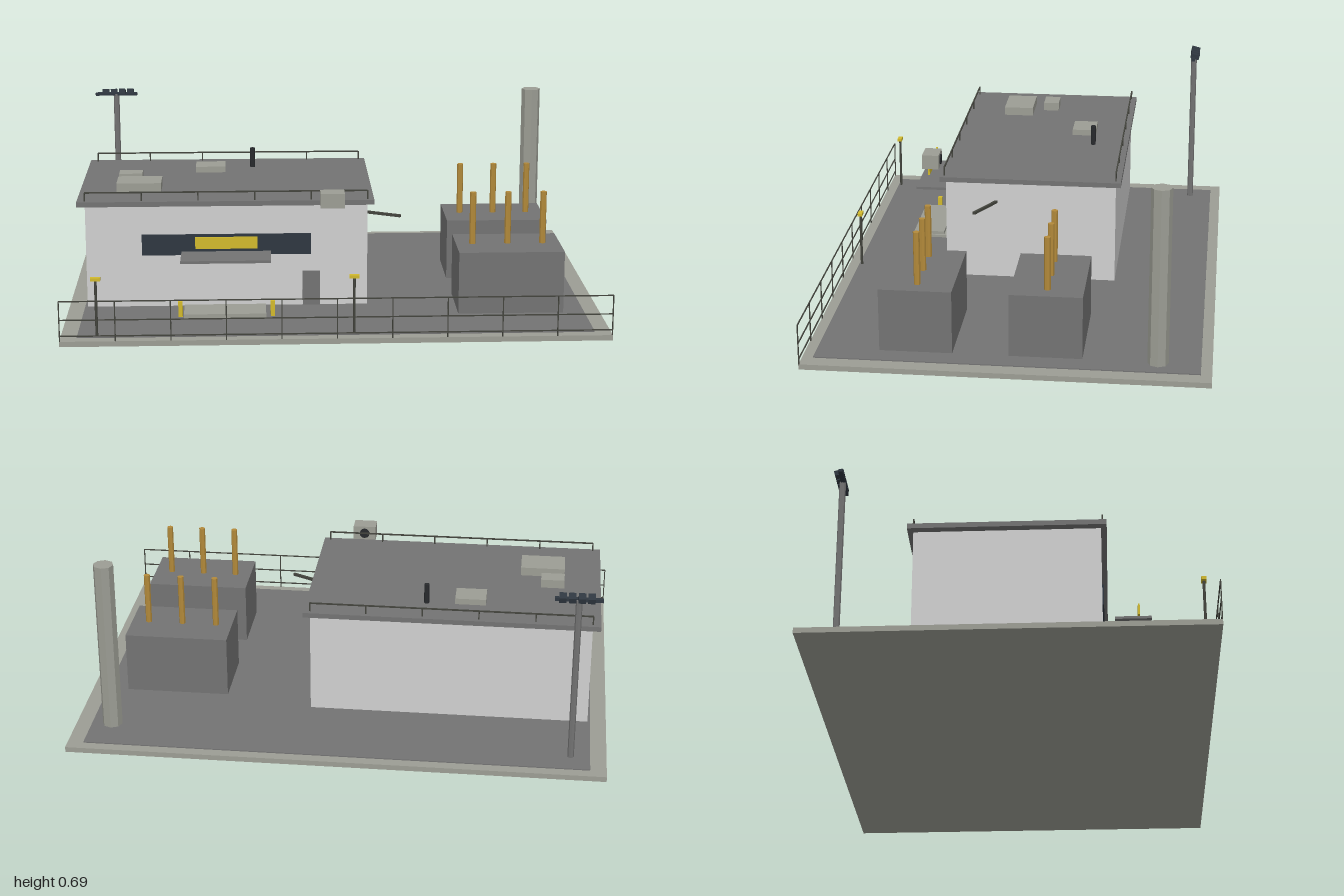
import * as THREE from 'three';

const material = (name, color) => {
  const m = new THREE.MeshStandardMaterial({ color });
  m.name = name;
  return m;
};

export function createModel() {
  const concrete = material('concrete', 0x9c9d94);
  const grey = material('dark grey', 0x737373);
  const wall = material('pale wall', 0xd0d0d0);
  const glass = material('dark glass', 0x2f3740);
  const yellow = material('yellow', 0xd2ba2c);
  const copper = material('copper', 0xb38a3a);
  const rail = material('rail', 0x43443d);
  const black = material('black', 0x282a2d);

  const model = new THREE.Group();
  model.name = 'substation';

  const group = (name) => {
    const g = new THREE.Group();
    g.name = name;
    model.add(g);
    return g;
  };
  // Box given by its limits on each axis
  const box = (parent, name, mat, [x0, x1], [y0, y1], [z0, z1]) => {
    const mesh = new THREE.Mesh(new THREE.BoxGeometry(x1 - x0, y1 - y0, z1 - z0), mat);
    mesh.position.set((x0 + x1) / 2, (y0 + y1) / 2, (z0 + z1) / 2);
    mesh.name = name;
    parent.add(mesh);
    return mesh;
  };
  // Faceted upright cylinder
  const post = (parent, name, mat, x, z, r, y0, y1, sides = 8) => {
    const geo = new THREE.CylinderGeometry(r, r, y1 - y0, sides).toNonIndexed();
    geo.computeVertexNormals();
    const mesh = new THREE.Mesh(geo, mat);
    mesh.position.set(x, (y0 + y1) / 2, z);
    mesh.name = name;
    parent.add(mesh);
    return mesh;
  };
  // Straight railing along x with evenly spaced posts
  const railing = (name, x0, x1, z, y0, heights, spans, t) => {
    const g = group(name);
    const top = Math.max(...heights);
    for (let i = 0; i <= spans; i++) {
      const x = x0 + ((x1 - x0) * i) / spans;
      box(g, 'railPost', rail, [x - t / 2, x + t / 2], [y0, top], [z - t / 2, z + t / 2]);
    }
    for (const y of heights) box(g, 'railBar', rail, [x0, x1], [y - t / 2, y + t / 2], [z - t / 2, z + t / 2]);
  };

  // Ground
  const ground = group('ground');
  box(ground, 'slab', concrete, [-1, 1], [0, 0.02], [-0.73, 0.73]);
  box(ground, 'pavement', grey, [-0.94, 0.94], [0.018, 0.024], [-0.69, 0.69]);

  // Building
  const building = group('building');
  box(building, 'walls', wall, [-0.93, 0.13], [0.02, 0.42], [-0.335, 0.325]);
  box(building, 'roof', grey, [-0.96, 0.155], [0.418, 0.437], [-0.355, 0.345]);
  box(building, 'windowBand', glass, [-0.72, -0.083], [0.225, 0.305], [0.322, 0.331]);
  box(building, 'door', grey, [-0.115, -0.05], [0.02, 0.157], [0.322, 0.331]);
  for (const z of [-0.335, 0.33]) railing('roofRailing', -0.93, 0.13, z, 0.435, [0.47], 5, 0.005);

  // Rooftop equipment
  const roofUnits = group('roofUnits');
  box(roofUnits, 'roofUnit', concrete, [-0.527, -0.41], [0.435, 0.46], [-0.217, -0.122]);
  box(roofUnits, 'roofUnit', concrete, [-0.82, -0.73], [0.435, 0.47], [-0.035, 0.028]);
  box(roofUnits, 'roofUnit', concrete, [-0.82, -0.65], [0.435, 0.47], [0.068, 0.187]);
  post(roofUnits, 'ventPipe', black, -0.302, -0.215, 0.01, 0.435, 0.515);

  // Entrance canopy, sign and loading platform
  const entrance = group('entrance');
  box(entrance, 'canopy', grey, [-0.57, -0.235], [0.24, 0.25], [0.37, 0.503]);
  box(entrance, 'sign', yellow, [-0.515, -0.285], [0.285, 0.329], [0.455, 0.462]);
  box(entrance, 'platform', concrete, [-0.56, -0.255], [0.038, 0.05], [0.395, 0.518]);
  box(entrance, 'lowerStep', concrete, [-0.56, -0.255], [0.022, 0.034], [0.38, 0.485]);
  for (const x of [-0.574, -0.23])
    box(entrance, 'bumperPost', yellow, [x - 0.008, x + 0.008], [0.022, 0.083], [0.45, 0.467]);

  // Air conditioning unit with a round fan on its back
  const cooler = group('airConditioner');
  box(cooler, 'coolerBody', concrete, [-0.05, 0.04], [0.427, 0.483], [0.367, 0.432]);
  const fan = post(cooler, 'fan', black, -0.005, 0.365, 0.02, 0, 0.006, 12);
  fan.rotation.x = Math.PI / 2;
  fan.position.y = 0.455;

  // Bracket arm on the side wall
  const arm = box(model, 'sideArm', rail, [-0.077, 0.077], [0.33, 0.34], [-0.005, 0.005]);
  arm.position.set(0.196, 0.335, 0.163);
  arm.rotation.y = -0.48;

  // Transformers with three bushings each
  for (const z of [-0.136, 0.332]) {
    const t = group('transformer');
    box(t, 'tank', grey, [0.465, 0.86], [0.02, 0.26], [z - 0.132, z + 0.132]);
    for (const x of [0.528, 0.661, 0.794]) post(t, 'bushing', copper, x, z, 0.012, 0.26, 0.46);
  }

  // Chimney
  post(model, 'chimney', concrete, 0.862, -0.537, 0.038, 0.02, 0.686);

  // Floodlight mast
  const mast = group('floodlightMast');
  post(mast, 'mastPole', grey, -0.868, -0.602, 0.012, 0.02, 0.665);
  box(mast, 'crossBar', glass, [-0.954, -0.782], [0.658, 0.67], [-0.607, -0.592]);
  for (let i = 0; i < 4; i++) {
    const x = -0.912 + i * 0.034;
    const lamp = box(mast, 'floodlight', glass, [x - 0.013, x + 0.013], [0.663, 0.683], [-0.625, -0.59]);
    lamp.rotation.x = -0.25;
  }

  // Small yard lamps
  for (const x of [-0.868, 0.063]) {
    const g = group('yardLamp');
    post(g, 'lampPole', rail, x, 0.679, 0.005, 0.02, 0.235);
    box(g, 'lampHead', yellow, [x - 0.018, x + 0.018], [0.232, 0.244], [0.67, 0.688]);
  }

  // Front fence
  railing('fence', -0.998, 0.998, 0.728, 0.02, [0.04, 0.1, 0.17], 10, 0.004);

  return model;
}
